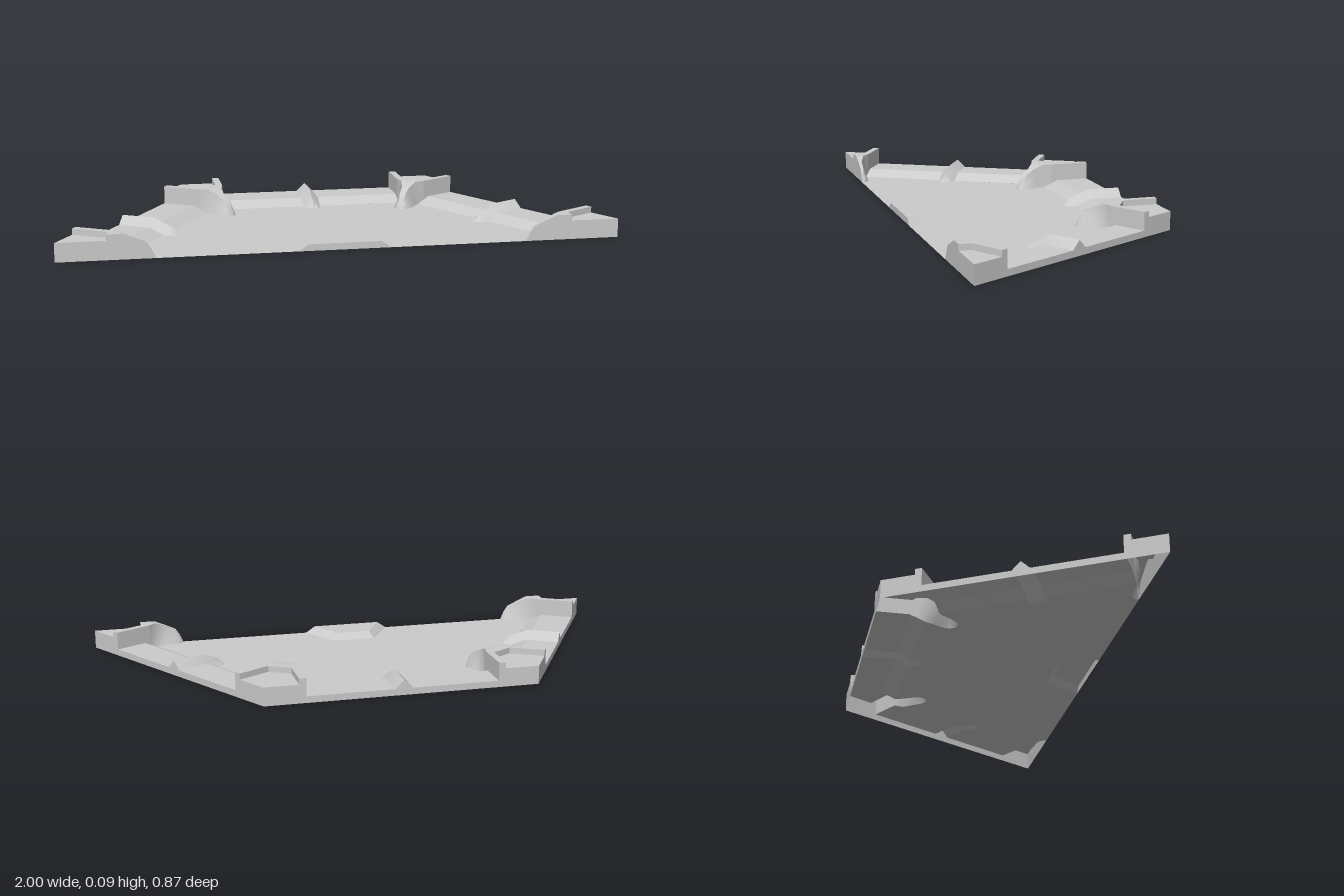
import * as THREE from 'three';
import { toCreasedNormals } from 'three/addons/utils/BufferGeometryUtils.js';

const material = new THREE.MeshStandardMaterial({ color: 0xcccccc, side: THREE.DoubleSide });
const H = Math.sqrt(3) / 2; // inner radius of the hexagon with side 1
const FRONT = H / 2;        // z of the straight cut through the middle
const RIM = 0.024, LEDGE = 0.068, LIP = 0.09;

// Surface through rows of [x, y, z] points
function grid(rows, crease = 0.1) {
  const n = rows[0].length, index = [];
  for (let i = 0; i < rows.length - 1; i++)
    for (let j = 0; j < n - 1; j++) {
      const a = i * n + j, b = a + 1, c = a + n, d = c + 1;
      index.push(a, b, c, b, d, c);
    }
  const g = new THREE.BufferGeometry();
  g.setAttribute('position', new THREE.Float32BufferAttribute(rows.flat(2), 3));
  g.setIndex(index);
  return toCreasedNormals(g, crease);
}

const outline = (pts) => new THREE.ShapeGeometry(new THREE.Shape(pts.map(([x, y]) => new THREE.Vector2(x, y))));
// Horizontal face from [x, z] points
const level = (pts, y) => outline(pts.map(([x, z]) => [x, -z])).rotateX(-Math.PI / 2).translate(0, y, 0);

function part(name, geometry) {
  const m = new THREE.Mesh(geometry, material);
  m.name = name;
  return m;
}

// Corner coordinates: r runs from the corner to the centre, w across, towards the edge
const corner = (r, w) => [0.5 - 0.5 * r - H * w, -H + H * r - 0.5 * w];
const corner3 = (r, w, y) => { const [x, z] = corner(r, w); return [x, y, z]; };

// Claw sections: r, then [w, y] of crest, flank and foot
const claw = [
  [0.205, [0.055, 0.09], [0.055, 0.05], [0.055, 0.013]],
  [0.231, [0.03, 0.09], [0.035, 0.045], [0.04, 0]],
  [0.27, [0.014, 0.073], [0.024, 0.035], [0.036, 0]],
  [0.31, [0.012, 0.055], [0.022, 0.03], [0.033, 0]],
  [0.327, [0.009, 0.03], [0.018, 0.018], [0.026, 0]],
  [0.34, [0.006, 0], [0.01, 0], [0.012, 0]],
];

// Half of one hexagon side, from its middle (x = 0) to its corner (x = 0.5)
function halfSideParts() {
  // ridge stations: distance from the edge, foot height, crest height
  const ridge = [[0, RIM, 0.055], [0.125, RIM, 0.055], [0.18, 0, 0.033], [0.2, 0, 0.024], [0.225, 0, 0]];
  const sections = [[0, 1], [0.014, 0.58], [0.032, 0]];
  const a = corner(0.0625, 0.10825), b = corner(0.175, 0.043), c = corner(0.175, 0);
  const edgeWall = outline([[0, 0], [0.5, 0], [0.5, LEDGE], [0.375, LEDGE], [0.375, LIP], [0.35, LIP],
    [0.35, RIM], [0.032, RIM], [0.014, 0.042], [0, 0.055]].map(([x, y]) => [-x, y]));
  return {
    edgeWall: edgeWall.rotateY(Math.PI).translate(0, 0, -H),
    rim: grid([0.032, 0.35].map((x) => [[x, RIM, -H], [x, RIM, -H + 0.125], [x, 0, -H + 0.18]])),
    ridge: grid(sections.map(([x, t]) => ridge.map(([d, lo, hi]) => [x, lo + t * (hi - lo), d - H])), 0.5),
    cornerLedge: level([[0.5, -H], a, b, c], LEDGE),
    cornerLip: level([a, [0.35, -H], corner(0.205, 0.055), corner(0.205, 0), c, b], LIP),
    lipInnerWall: grid([LIP, LEDGE].map((y) => [a, b, c].map(([x, z]) => [x, y, z]))),
    lipSideWall: grid([[RIM, RIM, 0.013], [LIP, LIP, LIP]].map((ys) =>
      [0, 0.125, 0.15].map((d, j) => [0.35, ys[j], -H + d]))),
    claw: grid(claw.map(([r, crest, flank, foot]) =>
      [[0, crest[1]], crest, flank, foot].map(([w, y]) => corner3(r, w, y))), 0.6),
  };
}

export function createModel() {
  const model = new THREE.Group();
  model.name = 'halfHexagonTray';

  // Three sides, each made of two mirrored halves; the floor outline follows them
  const parts = halfSideParts();
  const halfFloor = [[0.032, 0.225 - H], [0.032, 0.18 - H], ...claw.slice(1).map(([r, , , foot]) => corner(r, foot[0]))];
  const floor = [[-0.66, FRONT]];
  const up = new THREE.Vector3(0, 1, 0);
  for (const turn of [1, 0, -1]) {
    for (const mirror of [-1, 1]) {
      const half = new THREE.Group();
      half.name = mirror < 0 ? 'sideFirstHalf' : 'sideSecondHalf';
      for (const [name, geometry] of Object.entries(parts)) half.add(part(name, geometry));
      half.rotation.y = turn * Math.PI / 3;
      half.scale.x = mirror;
      half.position.z = FRONT;
      model.add(half);

      const run = mirror < 0 ? [...halfFloor].reverse() : halfFloor;
      for (const [x, z] of run) {
        const p = new THREE.Vector3(x * mirror, 0, z).applyAxisAngle(up, turn * Math.PI / 3);
        floor.push([p.x, p.z + FRONT]);
      }
    }
  }

  // Floor, notched around the raised block at the cut
  const foot = [[0.165, FRONT], [0.08, 0.29], [-0.08, 0.29], [-0.165, FRONT]];
  const top = [[0.13, FRONT], [0.065, 0.315], [-0.065, 0.315], [-0.13, FRONT]];
  model.add(part('floor', level([...floor, [0.66, FRONT], ...foot], 0)));

  // Raised block in the middle of the cut
  const block = new THREE.Group();
  block.name = 'frontBlock';
  block.add(part('blockTop', level(top, RIM)));
  block.add(part('blockSlopes', grid([foot.map(([x, z]) => [x, 0, z]), top.map(([x, z]) => [x, RIM, z])])));
  block.add(part('blockFace', outline([[-0.165, 0], [0.165, 0], [0.13, RIM], [-0.13, RIM]]).translate(0, 0, FRONT)));
  model.add(block);

  // Walls closing the two cut corners
  const cut = [[0, 0], [0, LEDGE], [0.175, LEDGE], [0.175, LIP], ...claw.map(([r, crest]) => [r, crest[1]])];
  for (const side of [-1, 1])
    model.add(part('cutCornerWall', outline(cut.map(([r, y]) => [side * (1 - r), y])).translate(0, 0, FRONT)));

  return model;
}
